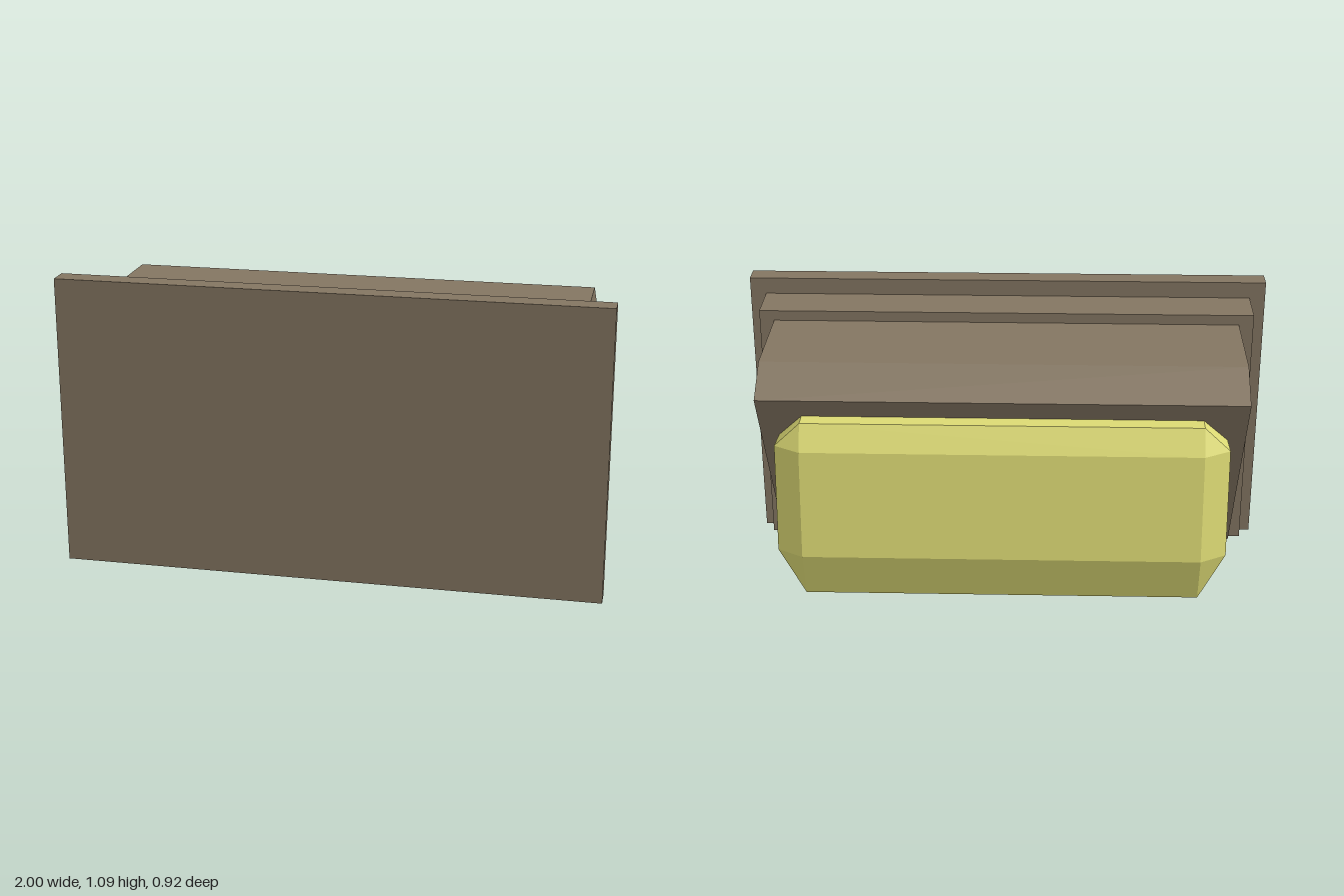
import * as THREE from 'three';
import { ConvexGeometry } from 'three/addons/geometries/ConvexGeometry.js';

const frame = new THREE.MeshStandardMaterial({ color: 0x847662 });
frame.name = 'brown frame';
const glass = new THREE.MeshStandardMaterial({ color: 0xdcda74 });
glass.name = 'yellow lens';

function add(group, name, geometry, material) {
  const mesh = new THREE.Mesh(geometry, material);
  mesh.name = name;
  group.add(mesh);
  return mesh;
}

// Box given by half width, y range and z range
function slab(group, name, halfX, y0, y1, z0, z1) {
  const mesh = add(group, name, new THREE.BoxGeometry(halfX * 2, y1 - y0, z1 - z0), frame);
  mesh.position.set(0, (y0 + y1) / 2, (z0 + z1) / 2);
}

export function createModel() {
  const model = new THREE.Group();
  model.name = 'wallLamp';

  // Stepped mounting plates
  slab(model, 'mountingPlate', 1, 0, 1.09, 0.38, 0.46);
  slab(model, 'stepPlate', 0.94, 0.07, 1.027, 0.2, 0.38);

  // Hooded housing: side profile as (-z, y), extruded along x
  const profile = [[-0.2, 0.107], [-0.11, 0.107], [0.338, 0.9], [0.192, 0.988], [-0.2, 0.988]];
  const shape = new THREE.Shape(profile.map(([a, b]) => new THREE.Vector2(a, b)));
  const housing = new THREE.ExtrudeGeometry(shape, { depth: 1.77, bevelEnabled: false });
  housing.translate(0, 0, -0.885).rotateY(Math.PI / 2);
  add(model, 'housing', housing, frame);

  // Faceted lens: rim on the slanted opening, outer ring, then the rear face
  const half = [
    [0.725, 0.82, -0.293], [0.82, 0.715, -0.234], [0.82, 0.33, -0.016], [0.725, 0.148, 0.087],
    [0.725, 0.82, -0.355], [0.82, 0.73, -0.355], [0.82, 0.33, -0.405], [0.725, 0.148, -0.405],
    [0.725, 0.73, -0.41], [0.725, 0.33, -0.46],
  ];
  const points = half.flatMap(([x, y, z]) => [
    new THREE.Vector3(x, y, z), new THREE.Vector3(-x, y, z),
  ]);
  add(model, 'lens', new ConvexGeometry(points), glass);

  return model;
}
